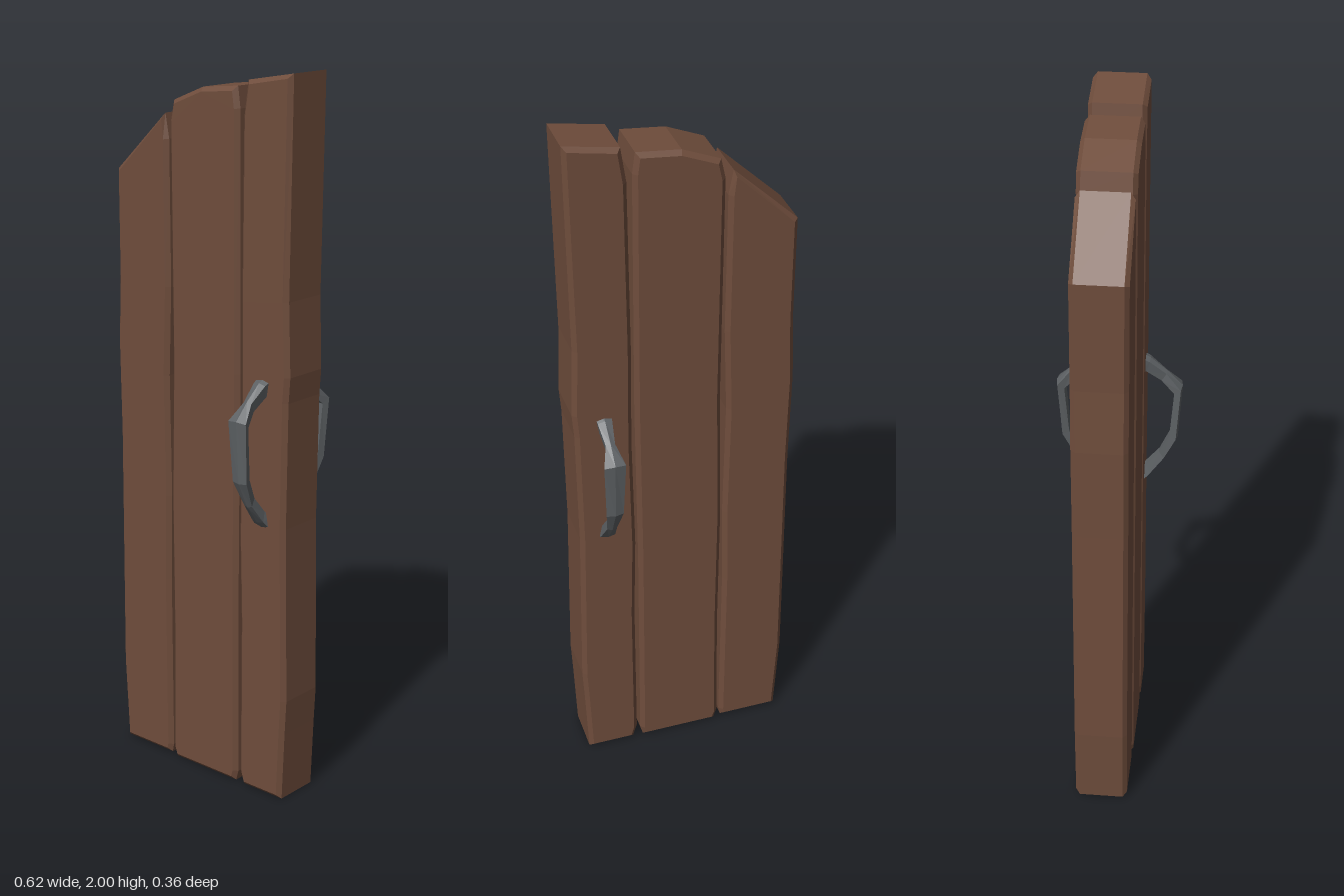
import * as THREE from 'three';

const wood = new THREE.MeshStandardMaterial({ color: 0x6f4d3c });
wood.name = 'brown wood';
const iron = new THREE.MeshStandardMaterial({ color: 0x5d6164 });
iron.name = 'grey iron';

// Plank: uneven outline, extruded front to back with a single chamfer
function plank(name, outline, back, front) {
  const bevel = 0.012;
  const shape = new THREE.Shape(outline.map(([x, y]) => new THREE.Vector2(x, y)));
  const geo = new THREE.ExtrudeGeometry(shape, {
    depth: front - back - 2 * bevel,
    bevelThickness: bevel,
    bevelSize: bevel,
    bevelOffset: -bevel,
    bevelSegments: 1,
  });
  geo.translate(0, 0, back + bevel);
  const mesh = new THREE.Mesh(geo, wood);
  mesh.name = name;
  return mesh;
}

// Handle: five-sided cross-sections, top foot to bottom foot
// each row: outer y, outer z, inner y, inner z, half width
const handleSections = [
  [1.205, 0.06, 1.165, 0.06, 0.024],
  [1.192, 0.085, 1.158, 0.076, 0.02],
  [1.152, 0.132, 1.128, 0.118, 0.013],
  [1.108, 0.174, 1.093, 0.155, 0.03],
  [0.94, 0.162, 0.947, 0.143, 0.024],
  [0.868, 0.128, 0.888, 0.114, 0.014],
  [0.815, 0.088, 0.842, 0.077, 0.02],
  [0.785, 0.06, 0.825, 0.06, 0.027],
];

function handleGeometry() {
  const pos = [];
  const index = [];
  for (const [oy, oz, iy, iz, w] of handleSections) {
    // the outer face has a slight centre ridge
    const ridge = new THREE.Vector2(oy - iy, oz - iz).setLength(0.005);
    pos.push(-w, oy, oz, 0, oy + ridge.x, oz + ridge.y, w, oy, oz);
    pos.push(w * 0.75, iy, iz, -w * 0.75, iy, iz);
  }
  for (let i = 0; i < handleSections.length - 1; i++) {
    for (let j = 0; j < 5; j++) {
      const a = i * 5 + j;
      const b = i * 5 + ((j + 1) % 5);
      index.push(a, a + 5, b + 5, a, b + 5, b);
    }
  }
  const geo = new THREE.BufferGeometry();
  geo.setAttribute('position', new THREE.Float32BufferAttribute(pos, 3));
  geo.setIndex(index);
  const flat = geo.toNonIndexed();
  flat.computeVertexNormals();
  return flat;
}

export function createModel() {
  const door = new THREE.Group();
  door.name = 'plankDoor';

  door.add(plank('rightPlank', [
    [-0.296, 0.005], [-0.122, 0.005], [-0.117, 0.03], [-0.121, 0.55], [-0.117, 0.8],
    [-0.123, 1.15], [-0.115, 1.4], [-0.118, 1.8], [-0.131, 1.868],
    [-0.307, 1.703], [-0.306, 1.4], [-0.313, 1.22], [-0.308, 0.95], [-0.31, 0.25],
  ], -0.08, 0.07));

  door.add(plank('middlePlank', [
    [-0.1, 0], [0.126, 0], [0.134, 0.03], [0.132, 0.7], [0.136, 1.2], [0.132, 1.9],
    [0.124, 1.957], [0.005, 1.946], [-0.097, 1.905], [-0.109, 1.85],
    [-0.104, 1.2], [-0.111, 0.8], [-0.107, 0.4], [-0.11, 0.03],
  ], -0.082, 0.072));

  door.add(plank('leftPlank', [
    [0.156, 0], [0.294, 0], [0.302, 0.2], [0.307, 0.3], [0.298, 0.8], [0.302, 1.15],
    [0.307, 1.22], [0.3, 1.42], [0.307, 2], [0.16, 1.975],
    [0.146, 1.88], [0.142, 1.4], [0.145, 1.1], [0.139, 0.75], [0.145, 0.5], [0.144, 0.04],
  ], -0.08, 0.073));

  // One handle on each face
  const handle = handleGeometry();
  for (const [name, turn] of [['frontHandle', 0], ['backHandle', Math.PI]]) {
    const mesh = new THREE.Mesh(handle, iron);
    mesh.name = name;
    mesh.position.set(0.222, 0, turn ? -0.002 : 0);
    mesh.rotation.y = turn;
    door.add(mesh);
  }
  return door;
}
